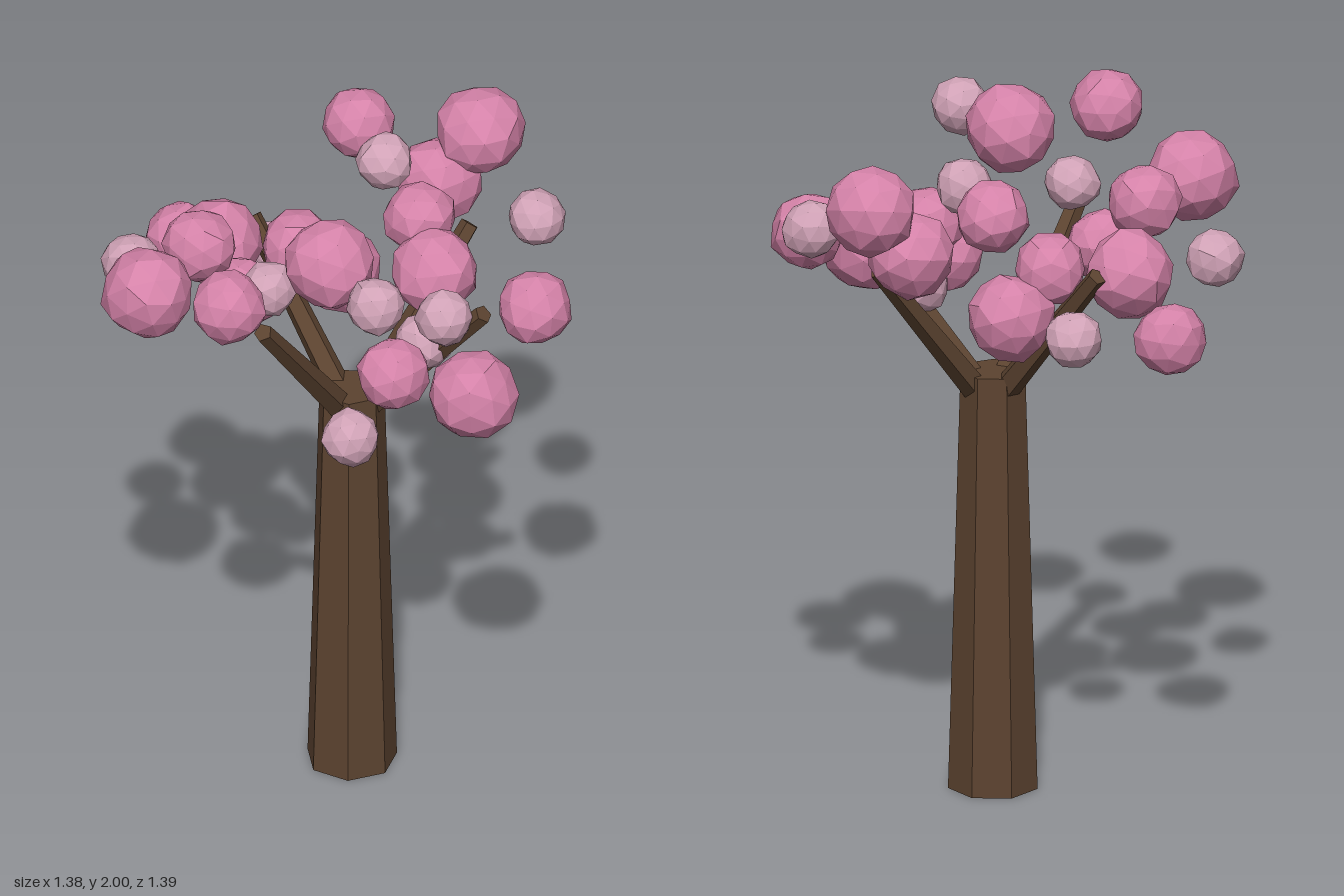
import * as THREE from 'three';

const bark = new THREE.MeshStandardMaterial({ color: 0x5c4330 });
const pink = new THREE.MeshStandardMaterial({ color: 0xd482a8 });
const palePink = new THREE.MeshStandardMaterial({ color: 0xd0a2b6 });
for (const [m, name] of [[bark, 'bark'], [pink, 'pink'], [palePink, 'palePink']]) {
  m.name = name;
  m.flatShading = true;
}

// Blossom clusters: x, y, z, radius
const PINK = [
  [0.16, 1.865, -0.57, 0.13], [0.08, 1.72, -0.48, 0.125], [-0.16, 1.86, -0.437, 0.105],
  [-0.59, 1.48, -0.165, 0.105], [-0.39, 1.605, -0.033, 0.13], [-0.18, 1.61, -0.122, 0.105],
  [-0.115, 1.49, -0.235, 0.125], [0.147, 1.74, -0.25, 0.105], [0.245, 1.64, -0.165, 0.125],
  [0.575, 1.62, -0.165, 0.108], [0.555, 1.49, 0.145, 0.13], [0.305, 1.49, 0.166, 0.105],
  [0.15, 1.87, 0.267, 0.13], [0.01, 1.86, 0.593, 0.106], [-0.325, 1.735, 0.475, 0.132],
  [-0.318, 1.74, 0.195, 0.107], [-0.2, 1.6, 0.166, 0.105],
];
const PALE = [
  [0.428, 1.73, -0.432, 0.083], [-0.334, 1.47, -0.272, 0.083], [0.017, 1.875, -0.275, 0.083],
  [0.375, 1.865, 0.385, 0.083], [0.363, 1.485, 0.51, 0.083], [0.376, 1.615, 0.004, 0.083],
  [0.275, 1.47, -0.05, 0.083], [-0.547, 1.61, 0.19, 0.083], [-0.045, 1.73, 0.277, 0.08],
];

// Branches: base, tip
const BRANCHES = [
  [[0.035, 1.2, 0.0], [-0.01, 1.64, 0.365]],
  [[0.075, 1.2, -0.085], [0.21, 1.64, -0.43]],
  [[0.09, 1.2, -0.055], [0.475, 1.63, -0.05]],
  [[0.0, 1.2, -0.06], [-0.355, 1.63, -0.165]],
];

// Low-poly ball whose corners are nudged in and out
function blossomGeometry(radius, seed) {
  const geo = new THREE.IcosahedronGeometry(1, 1);
  const pos = geo.attributes.position;
  const v = new THREE.Vector3();
  for (let i = 0; i < pos.count; i++) {
    v.fromBufferAttribute(pos, i);
    const wobble = Math.sin(v.x * 5.1 + seed * 1.7) + Math.sin(v.y * 6.3 + seed * 2.9) + Math.sin(v.z * 5.7 + seed * 4.1);
    v.multiplyScalar(radius * (1 + 0.025 * wobble));
    pos.setXYZ(i, v.x, v.y, v.z);
  }
  geo.computeVertexNormals();
  return geo;
}

function addBlossoms(tree, list, material, name, seedStart) {
  const group = new THREE.Group();
  group.name = name + 's';
  list.forEach(([x, y, z, r], i) => {
    const seed = seedStart + i;
    const mesh = new THREE.Mesh(blossomGeometry(r, seed), material);
    mesh.name = name;
    mesh.position.set(x, y, z);
    mesh.rotation.set(seed * 1.3, seed * 2.1, seed * 0.7);
    group.add(mesh);
  });
  tree.add(group);
}

export function createModel() {
  const tree = new THREE.Group();
  tree.name = 'blossomTree';

  // Seven-sided tapering trunk
  const trunk = new THREE.Mesh(new THREE.CylinderGeometry(0.095, 0.131, 1.25, 7, 1, false, Math.PI), bark);
  trunk.name = 'trunk';
  trunk.position.set(0.045, 0.625, -0.041);
  tree.add(trunk);

  // Branches fanning out of the trunk top
  const up = new THREE.Vector3(0, 1, 0);
  for (const [a, b] of BRANCHES) {
    const base = new THREE.Vector3(...a);
    const tip = new THREE.Vector3(...b);
    const dir = tip.clone().sub(base);
    const branch = new THREE.Mesh(new THREE.CylinderGeometry(0.028, 0.041, dir.length(), 5), bark);
    branch.name = 'branch';
    branch.position.copy(base).add(tip).multiplyScalar(0.5);
    branch.quaternion.setFromUnitVectors(up, dir.normalize());
    tree.add(branch);
  }

  // Floating blossom clusters
  addBlossoms(tree, PINK, pink, 'pinkBlossom', 1);
  addBlossoms(tree, PALE, palePink, 'paleBlossom', 40);
  return tree;
}
